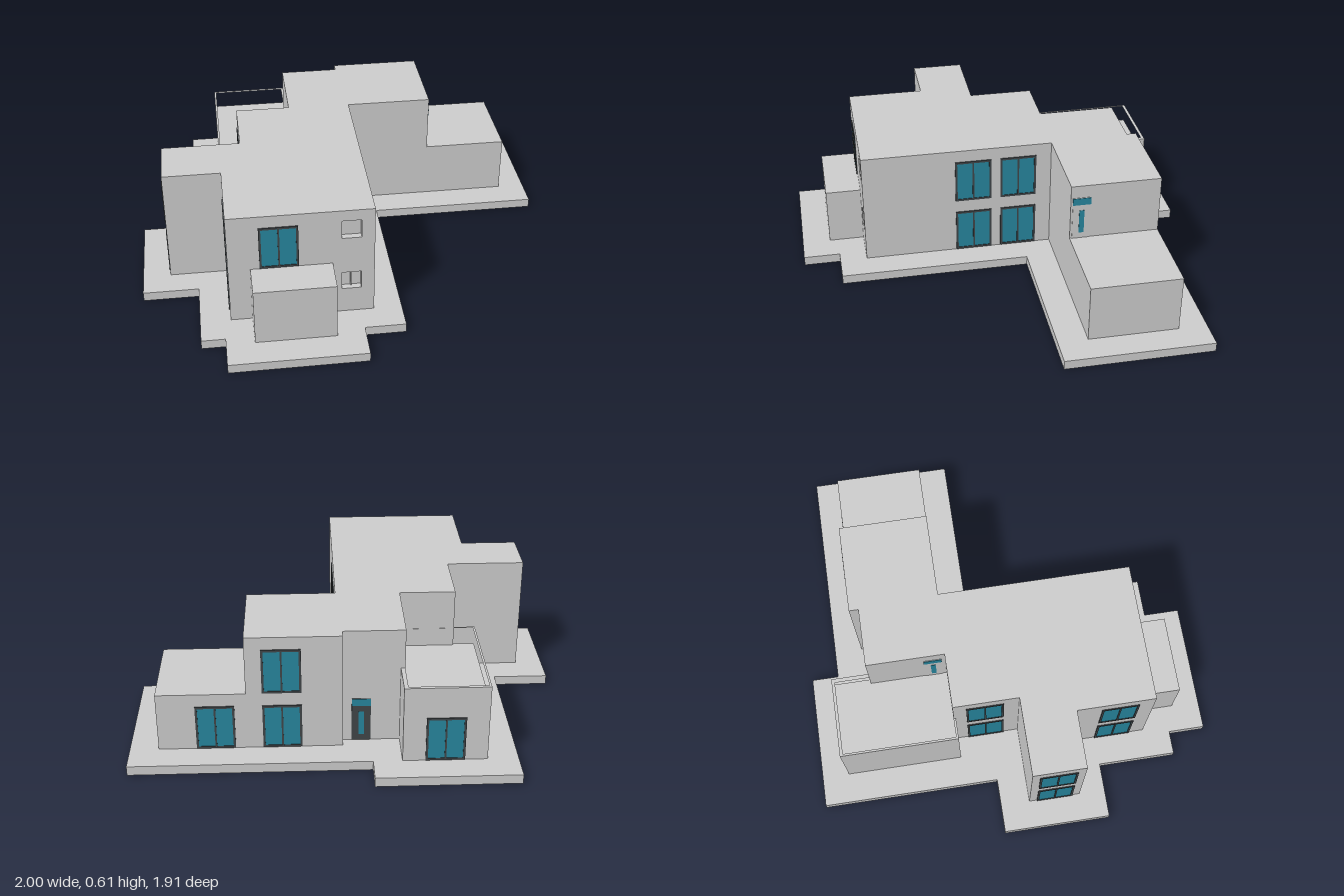
import * as THREE from 'three';

const wallMat = new THREE.MeshStandardMaterial({ color: 0xcccccc });
const glassMat = new THREE.MeshStandardMaterial({ color: 0x27869e });
const frameMat = new THREE.MeshStandardMaterial({ color: 0x404548 });

const BASE = 0.045, LOW = 0.325, TERRACE = 0.415, ROOF = 0.605;
const FACING = { front: 0, right: Math.PI / 2, back: Math.PI, left: -Math.PI / 2 };

function add(parent, name, geometry, material = wallMat) {
  const mesh = new THREE.Mesh(geometry, material);
  mesh.name = name;
  parent.add(mesh);
  return mesh;
}

function box(parent, name, [x0, x1], [y0, y1], [z0, z1], material) {
  const mesh = add(parent, name, new THREE.BoxGeometry(x1 - x0, y1 - y0, z1 - z0), material);
  mesh.position.set((x0 + x1) / 2, (y0 + y1) / 2, (z0 + z1) / 2);
  return mesh;
}

const rect = (x0, x1, y0, y1) => [[x0, y0], [x1, y0], [x1, y1], [x0, y1]];
const vectors = (pts) => pts.map(([x, y]) => new THREE.Vector2(x, y));

// Flat outline with holes, extruded along +z
function panel(outline, holes, depth) {
  const shape = new THREE.Shape(vectors(outline));
  holes.forEach((h) => shape.holes.push(new THREE.Path(vectors(h))));
  return new THREE.ExtrudeGeometry(shape, { depth, bevelEnabled: false });
}

// Floor plan of [x, z] points raised from y0 to y1
function plan(outline, holes, y0, y1) {
  const flip = (pts) => pts.map(([x, z]) => [x, -z]);
  return panel(flip(outline), holes.map(flip), y1 - y0).rotateX(-Math.PI / 2).translate(0, y0, 0);
}

// Group on a wall, with its origin at the bottom middle of the opening
function onWall(parent, name, x, y, z, facing) {
  const group = new THREE.Group();
  group.name = name;
  group.position.set(x, y, z);
  group.rotation.y = FACING[facing];
  parent.add(group);
  return group;
}

// Two-pane window with a dark frame
function addWindow(parent, x, y, z, facing, w = 0.176, h = 0.217) {
  const g = onWall(parent, 'window', x, y, z, facing);
  const f = 0.01, m = 0.004;
  const panes = [rect(-w / 2 + f, -m, f, h - f), rect(m, w / 2 - f, f, h - f)];
  add(g, 'windowFrame', panel(rect(-w / 2, w / 2, 0, h), panes, 0.005));
  g.children[0].material = frameMat;
  box(g, 'windowGlass', [-w / 2 + f, w / 2 - f], [f, h - f], [-0.004, 0.002], glassMat);
}

// Narrow door with a glazed slit and a glass strip above
function addDoor(parent, x, y, z, facing, leafMat = wallMat) {
  const g = onWall(parent, 'door', x, y, z, facing);
  box(g, 'doorLeaf', [-0.043, 0.043], [0, 0.217], [-0.004, 0.002], leafMat);
  box(g, 'doorTransom', [-0.043, 0.043], [0.18, 0.215], [-0.004, 0.004], glassMat);
  box(g, 'doorSlit', [-0.012, 0.012], [0.03, 0.15], [-0.004, 0.004], glassMat);
}

export function createModel() {
  const house = new THREE.Group();
  house.name = 'house';

  // Paved slab, open underneath the house footprint
  const slab = [
    [-0.74, -0.96], [-0.09, -0.96], [-0.09, -0.83], [1, -0.83], [1, -0.13], [0.19, -0.13],
    [0.19, 0.78], [0, 0.78], [0, 0.955], [-0.63, 0.955], [-0.63, 0.78], [-0.74, 0.78],
    [-0.74, 0.405], [-1, 0.405], [-1, -0.11], [-0.74, -0.11],
  ];
  const footprint = [
    [-0.6, 0.65], [-0.5, 0.65], [-0.5, 0.82], [-0.13, 0.82], [-0.13, 0.65], [0.06, 0.65],
    [0.06, -0.27], [0.87, -0.27], [0.87, -0.695], [0.04, -0.695], [0.04, -0.65], [-0.22, -0.65],
    [-0.22, -0.83], [-0.6, -0.83], [-0.6, -0.27], [-0.5, -0.27], [-0.5, 0.03], [-0.87, 0.03],
    [-0.87, 0.28], [-0.6, 0.28],
  ];
  add(house, 'slab', plan(slab, [footprint], 0, BASE));

  // Two-storey body, up to the back of the front wall
  const niche = 0.03, frontZ = 0.65;
  const body = [
    [-0.6, frontZ - niche], [0.06, frontZ - niche], [0.06, -0.27], [0.47, -0.27], [0.47, -0.695],
    [0.04, -0.695], [0.04, -0.65], [-0.24, -0.65], [-0.24, -0.28], [-0.5, -0.28],
    [-0.5, 0.03], [-0.87, 0.03], [-0.87, 0.28], [-0.6, 0.28],
  ];
  add(house, 'mainBody', plan(body, [], BASE, ROOF));

  // Front wall with two small recessed openings
  const openings = [rect(-0.09, 0, 0.175, 0.267), rect(-0.09, 0, 0.457, 0.55)];
  add(house, 'frontWall', panel(rect(-0.6, 0.06, BASE, ROOF), openings, niche))
    .position.z = frontZ - niche;
  box(house, 'nicheMullion', [-0.048, -0.042], [0.175, 0.267], [frontZ - niche, frontZ - 0.02]);

  // Single-storey blocks
  box(house, 'lowWing', [0.47, 0.87], [BASE, LOW], [-0.695, -0.27]);
  box(house, 'frontBlock', [-0.5, -0.13], [BASE, LOW], [frontZ, 0.82]);
  box(house, 'terraceBlock', [-0.6, -0.22], [BASE, LOW], [-0.83, -0.27]);
  add(house, 'terraceParapet', plan(rect(-0.6, -0.22, -0.83, -0.27),
    [rect(-0.59, -0.239, -0.815, -0.281)], LOW, TERRACE));

  // Windows stacked on both floors
  const lowY = BASE + 0.002, highY = 0.328;
  for (const y of [lowY, highY]) {
    addWindow(house, 0.06, y, 0.113, 'right');
    addWindow(house, 0.06, y, -0.108, 'right');
    addWindow(house, 0.31, y, -0.695, 'back');
    addWindow(house, -0.5, y, -0.13, 'left');
    addWindow(house, -0.87, y, 0.155, 'left');
    addWindow(house, -0.6, y, 0.49, 'left');
  }

  // Windows on one floor only
  addWindow(house, -0.37, highY, frontZ, 'front');
  addWindow(house, 0.61, lowY, -0.695, 'back');
  addWindow(house, -0.41, lowY, -0.83, 'back');

  // Doors to the roofs and the rear entrance
  addDoor(house, 0.47, LOW, -0.323, 'right');
  addDoor(house, -0.24, LOW, -0.34, 'left');
  addDoor(house, -0.045, BASE, -0.65, 'back', frameMat);

  return house;
}
